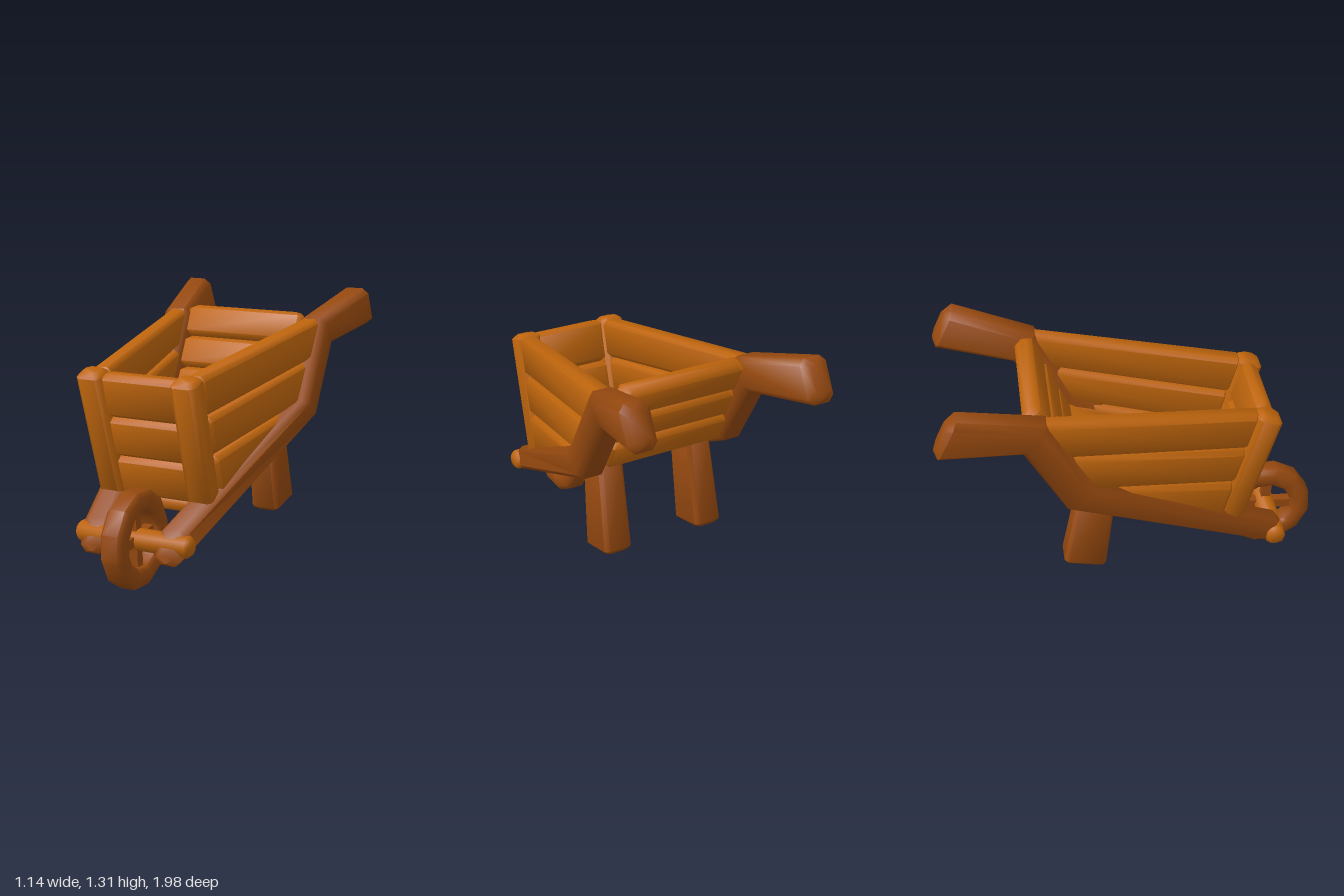
import * as THREE from 'three';
import { toCreasedNormals } from 'three/addons/utils/BufferGeometryUtils.js';

const CREASE = 0.95;

// Cross-section: x centre, half width, and the (z, y) of its two opposite edges
function sec(x, hw, z1, y1, z2, y2) {
  return {
    c: new THREE.Vector3(x, (y1 + y2) / 2, (z1 + z2) / 2),
    s: new THREE.Vector3(hw, 0, 0),
    u: new THREE.Vector3(0, (y1 - y2) / 2, (z1 - z2) / 2),
  };
}

const mix = (a, b, t) => ({
  c: a.c.clone().lerp(b.c, t), s: a.s.clone().lerp(b.s, t), u: a.u.clone().lerp(b.u, t),
});

const shrink = (a, d) => ({
  c: a.c,
  s: a.s.clone().setLength(a.s.length() - d),
  u: a.u.clone().setLength(a.u.length() - d),
});

// Solid beam through the sections, with every edge bevelled
function beam(sections, bevel) {
  const n = sections.length;
  const first = sections[0], last = sections[n - 1];
  const step = (a, b) => bevel / a.c.distanceTo(b.c);
  const all = [
    shrink(first, bevel), mix(first, sections[1], step(first, sections[1])),
    ...sections.slice(1, -1),
    mix(last, sections[n - 2], step(last, sections[n - 2])), shrink(last, bevel),
  ];
  const dir = last.c.clone().sub(first.c);
  const flip = first.s.clone().cross(first.u).dot(dir) < 0 ? -1 : 1;
  const pos = [], idx = [];
  for (const { c, s, u } of all) {
    const a = 1 - bevel / s.length(), b = 1 - bevel / u.length();
    const ring = [[1, -b], [1, b], [a, 1], [-a, 1], [-1, b], [-1, -b], [-a, -1], [a, -1]];
    for (const [i, j] of ring) {
      const p = c.clone().addScaledVector(s, i * flip).addScaledVector(u, j);
      pos.push(p.x, p.y, p.z);
    }
  }
  const top = (all.length - 1) * 8;
  for (let r = 0; r < top; r += 8) {
    for (let j = 0; j < 8; j++) {
      const a = r + j, b = r + (j + 1) % 8;
      idx.push(a, b, b + 8, a, b + 8, a + 8);
    }
  }
  for (let j = 1; j < 7; j++) idx.push(0, j + 1, j, top, top + j, top + j + 1);
  const g = new THREE.BufferGeometry();
  g.setAttribute('position', new THREE.Float32BufferAttribute(pos, 3));
  g.setIndex(idx);
  return toCreasedNormals(g, CREASE);
}

export function createModel() {
  const lightWood = new THREE.MeshStandardMaterial({ color: 0xbd640c });
  lightWood.name = 'lightWood';
  const darkWood = new THREE.MeshStandardMaterial({ color: 0x96490f });
  darkWood.name = 'darkWood';

  const model = new THREE.Group();
  model.name = 'wheelbarrow';
  const add = (name, geometry, material, parent = model) => {
    const mesh = new THREE.Mesh(geometry, material);
    mesh.name = name;
    parent.add(mesh);
    return mesh;
  };

  // Side planks follow a line that widens towards the back
  const sideX = (z) => 0.26 - (z - 0.6) * 0.1355;
  const sidePlanks = [
    [0.64, 1.05, 0.58, 0.85, -0.47, 1.195, -0.37, 0.99],
    [0.58, 0.84, 0.52, 0.645, -0.37, 0.98, -0.27, 0.775],
    [0.52, 0.635, 0.46, 0.42, -0.27, 0.765, -0.25, 0.69],
  ];

  for (const m of [1, -1]) {
    const side = m > 0 ? 'left' : 'right';
    // Rail bent up into a handle
    add(side + 'Rail', beam([
      sec(m * 0.205, 0.072, 0.79, 0.31, 0.84, 0.145),
      sec(m * 0.412, 0.08, -0.22, 0.795, -0.36, 0.685),
      sec(m * 0.412, 0.08, -0.45, 1.195, -0.565, 1.045),
      sec(m * 0.5, 0.077, -0.9, 1.325, -1, 1.115),
    ], 0.032), darkWood);

    // Leg
    add(side + 'Leg', beam([
      sec(m * 0.275, 0.078, -0.385, 0.215, -0.165, 0.175),
      sec(m * 0.262, 0.07, -0.285, 0.69, -0.1, 0.65),
    ], 0.02), darkWood);

    for (const [a, b, c, d, e, f, g, h] of sidePlanks) {
      add(side + 'SidePlank', beam([
        sec(m * sideX(a), 0.054, a, b, c, d),
        sec(m * sideX(e), 0.054, e, f, g, h),
      ], 0.024), lightWood);
    }

    // Front corner post, leaning forward
    add(side + 'FrontPost', beam([
      sec(m * 0.25, 0.067, 0.565, 0.39, 0.445, 0.42),
      sec(m > 0 ? 0.244 : -0.274, 0.067, 0.742, 1.03, 0.622, 1.065),
    ], 0.022), lightWood);
  }

  // Front planks between the posts
  for (const [lo, hi] of [[0.4, 0.605], [0.61, 0.815], [0.82, 1.04]]) {
    const at = (y) => {
      const z = 0.5 + 0.29 * (y - 0.43);
      return sec(0, 0.215, z + 0.042, y - 0.012, z - 0.042, y + 0.012);
    };
    add('frontPlank', beam([at(lo), at(hi)], 0.022), lightWood);
  }

  // Back planks leaning with the handles
  for (const [z, y] of [[-0.35, 0.795], [-0.415, 0.96], [-0.485, 1.125]]) {
    const at = (k) => {
      const cz = z - 0.037 * k, cy = y + 0.08 * k;
      return sec(0, 0.345, cz + 0.046, cy + 0.02, cz - 0.046, cy - 0.02);
    };
    add('backPlank', beam([at(-1), at(1)], 0.024), lightWood);
  }

  // Sloping floor
  add('floor', beam([
    sec(0, 0.225, 0.52, 0.39, 0.51, 0.33),
    sec(0, 0.36, -0.33, 0.785, -0.34, 0.725),
  ], 0.012), lightWood);

  // Wheel with spokes, turning on the axle
  const wheel = new THREE.Group();
  wheel.name = 'wheel';
  wheel.position.set(0, 0.25, 0.755);
  model.add(wheel);
  const profile = [
    [0.145, -0.045], [0.165, -0.062], [0.222, -0.062], [0.248, -0.042],
    [0.248, 0.042], [0.222, 0.062], [0.165, 0.062], [0.145, 0.045], [0.145, -0.045],
  ].map(([r, h]) => new THREE.Vector2(r, h));
  const rim = new THREE.LatheGeometry(profile, 12).rotateZ(Math.PI / 2).rotateX(0.2);
  add('wheelRim', toCreasedNormals(rim, CREASE), darkWood, wheel);
  for (let i = 0; i < 4; i++) {
    const spoke = new THREE.BoxGeometry(0.05, 0.13, 0.05).translate(0, 0.095, 0);
    add('spoke', spoke, darkWood, wheel).rotation.x = 0.06 + i * Math.PI / 2;
  }
  const axleProfile = [[0, -0.315], [0.038, -0.315], [0.056, -0.295], [0.056, 0.295], [0.038, 0.315], [0, 0.315]]
    .map(([r, h]) => new THREE.Vector2(r, h));
  const axle = new THREE.LatheGeometry(axleProfile, 10).rotateZ(Math.PI / 2);
  add('axle', toCreasedNormals(axle, CREASE), lightWood, wheel);

  return model;
}
